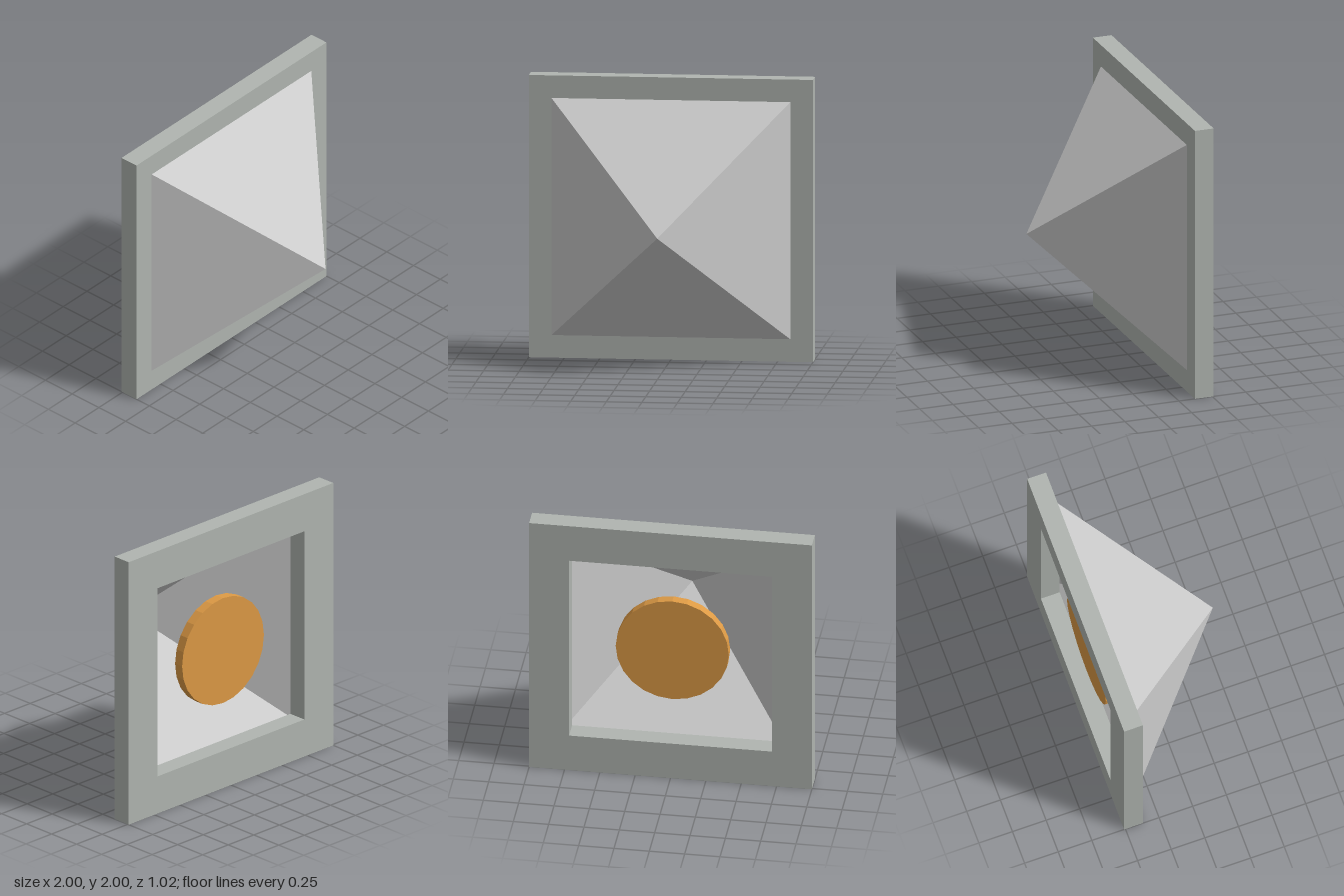
import * as THREE from 'three';

const BACK = -0.51, FRAME_DEPTH = 0.14, FRONT = BACK + FRAME_DEPTH;

// Square outline of a given half size
function square(Type, h) {
  return new Type([[-h, -h], [h, -h], [h, h], [-h, h]].map(([x, y]) => new THREE.Vector2(x, y)));
}

function addPart(group, name, geometry, color, z, side = THREE.FrontSide) {
  const material = new THREE.MeshStandardMaterial({ color, flatShading: true, side });
  const mesh = new THREE.Mesh(geometry, material);
  mesh.name = name;
  mesh.position.set(0, 1, z);
  group.add(mesh);
}

export function createModel() {
  const group = new THREE.Group();
  group.name = 'pyramidPanel';

  // Square frame with a square opening
  const outline = square(THREE.Shape, 1);
  outline.holes.push(square(THREE.Path, 0.717));
  const frame = new THREE.ExtrudeGeometry(outline, { depth: FRAME_DEPTH, bevelEnabled: false });
  addPart(group, 'frame', frame, 0xb0b5b0, BACK);

  // Hollow four-sided pyramid, open at the back, pointing forward
  const height = 0.51 - FRONT;
  const pyramid = new THREE.ConeGeometry(0.84 * Math.SQRT2, height, 4, 1, true)
    .rotateY(Math.PI / 4)
    .rotateX(Math.PI / 2);
  addPart(group, 'pyramidShell', pyramid, 0xcccccc, FRONT + height / 2, THREE.DoubleSide);

  // Round disc floating in the opening
  const disc = new THREE.CylinderGeometry(0.4, 0.4, 0.07, 24).rotateX(Math.PI / 2);
  addPart(group, 'disc', disc, 0xdd9a45, -0.395);

  return group;
}
